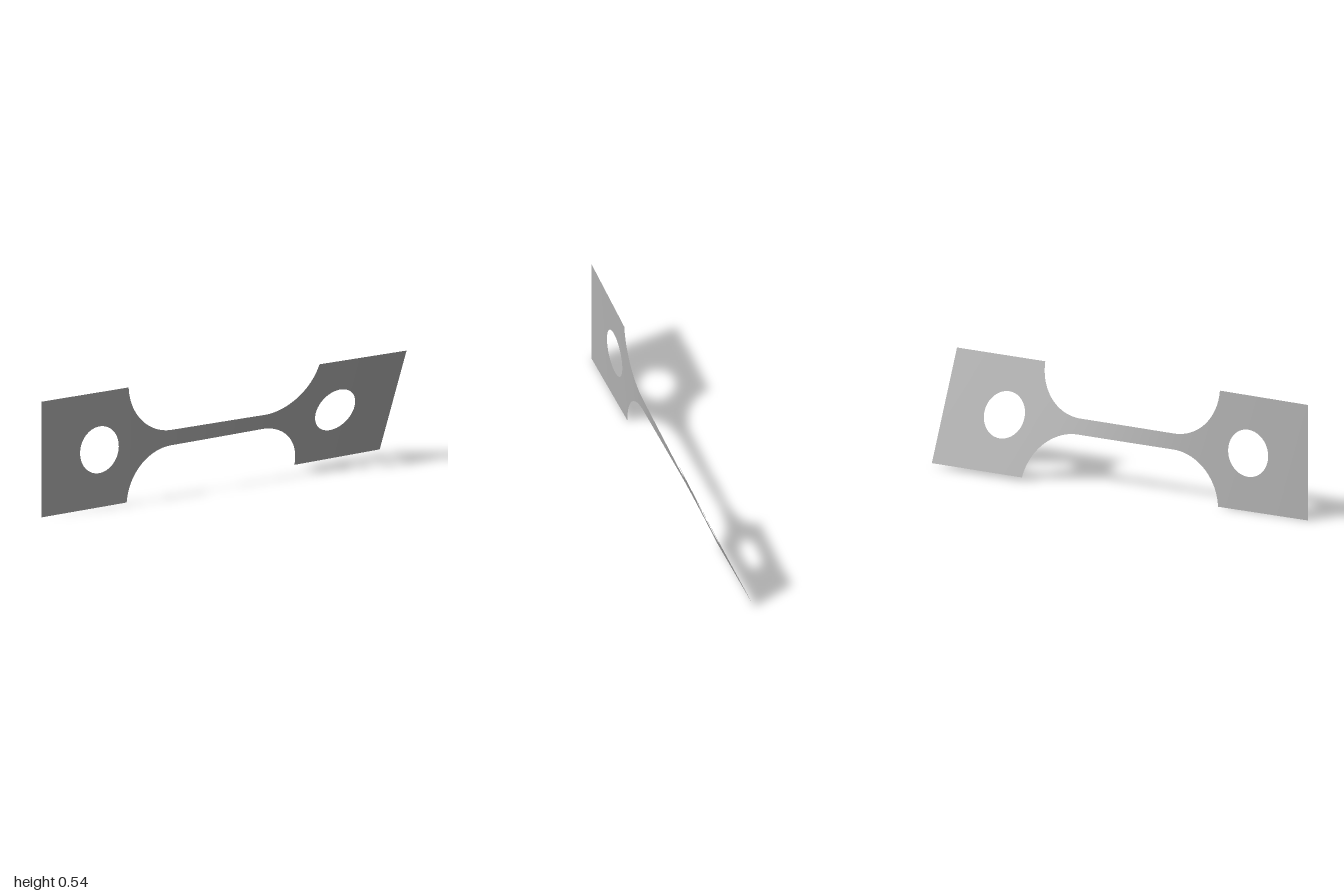
import * as THREE from 'three';

const HALF = 0.271;    // half height of the end plates
const NECK = 0.037;    // half height of the neck
const R = 0.25;        // fillet radius
const FILLET_X = 0.26; // where the fillet leaves the neck
const PLATE_X = FILLET_X + Math.sqrt(R * R - (R + NECK - HALF) ** 2);
const HOLE_X = 0.67, HOLE_R = 0.11;
const TWIST = THREE.MathUtils.degToRad(22.3);

// Half height of the outline at x
function halfHeight(x) {
  const a = Math.abs(x);
  if (a >= PLATE_X) return HALF;
  if (a <= FILLET_X) return NECK;
  return NECK + R - Math.sqrt(R * R - (a - FILLET_X) ** 2);
}

// Twist angle along x: the narrower the section, the faster it turns
const STEPS = 400;
const turn = [0];
for (let i = 0; i < STEPS; i++) {
  turn.push(turn[i] + 1 / halfHeight(-1 + (2 * (i + 0.5)) / STEPS));
}
function twistAt(x) {
  const t = THREE.MathUtils.clamp((x + 1) / 2, 0, 1) * STEPS;
  const i = Math.min(Math.floor(t), STEPS - 1);
  return (TWIST * THREE.MathUtils.lerp(turn[i], turn[i + 1], t - i)) / turn[STEPS];
}

// Grid of flat points (x, v) from fn(i, j), twisted about the long axis
function twistedSheet(cols, rows, fn) {
  const pos = [], index = [];
  for (let i = 0; i <= cols; i++) {
    for (let j = 0; j <= rows; j++) {
      const [x, v] = fn(i, j);
      const a = twistAt(x);
      pos.push(x, HALF + v * Math.cos(a), v * Math.sin(a));
      if (i < cols && j < rows) {
        const p = i * (rows + 1) + j, q = p + rows + 1;
        index.push(p, q, q + 1, p, q + 1, p + 1);
      }
    }
  }
  const g = new THREE.BufferGeometry();
  g.setAttribute('position', new THREE.Float32BufferAttribute(pos, 3));
  g.setIndex(index);
  g.computeVertexNormals();
  return g;
}

// Rectangle around a round hole, filled in rings from hole to border
function plateGeometry(side) {
  const perSide = 24, rings = 8;
  const cx = side * HOLE_X;
  const x0 = side > 0 ? PLATE_X : -1, x1 = side > 0 ? 1 : -PLATE_X;
  const corners = [[x0, -HALF], [x1, -HALF], [x1, HALF], [x0, HALF]];
  return twistedSheet(rings, perSide * 4, (i, j) => {
    const k = Math.floor(j / perSide) % 4, f = (j % perSide) / perSide;
    const a = corners[k], b = corners[(k + 1) % 4];
    const bx = THREE.MathUtils.lerp(a[0], b[0], f);
    const bv = THREE.MathUtils.lerp(a[1], b[1], f);
    const ang = Math.atan2(bv, bx - cx);
    const t = i / rings;
    return [
      THREE.MathUtils.lerp(cx + HOLE_R * Math.cos(ang), bx, t),
      THREE.MathUtils.lerp(HOLE_R * Math.sin(ang), bv, t),
    ];
  });
}

// Neck with its four fillets; columns are even along the fillet arcs
function neckGeometry() {
  const arc = 28, straight = 40, rows = 12;
  const end = Math.asin((PLATE_X - FILLET_X) / R);
  const xs = [];
  for (let i = arc; i > 0; i--) xs.push(-FILLET_X - R * Math.sin((end * i) / arc));
  for (let i = 0; i <= straight; i++) xs.push(FILLET_X * ((2 * i) / straight - 1));
  for (let i = 1; i <= arc; i++) xs.push(FILLET_X + R * Math.sin((end * i) / arc));
  return twistedSheet(xs.length - 1, rows, (i, j) => [
    xs[i], halfHeight(xs[i]) * ((2 * j) / rows - 1),
  ]);
}

export function createModel() {
  const group = new THREE.Group();
  group.name = 'twistedTestStrip';
  const metal = new THREE.MeshStandardMaterial({ color: 0xb3b3b3, side: THREE.DoubleSide });
  metal.name = 'grey metal';

  const add = (name, geometry) => {
    const mesh = new THREE.Mesh(geometry, metal);
    mesh.name = name;
    group.add(mesh);
  };
  add('rightEndPlate', plateGeometry(-1));
  add('neck', neckGeometry());
  add('leftEndPlate', plateGeometry(1));
  return group;
}
